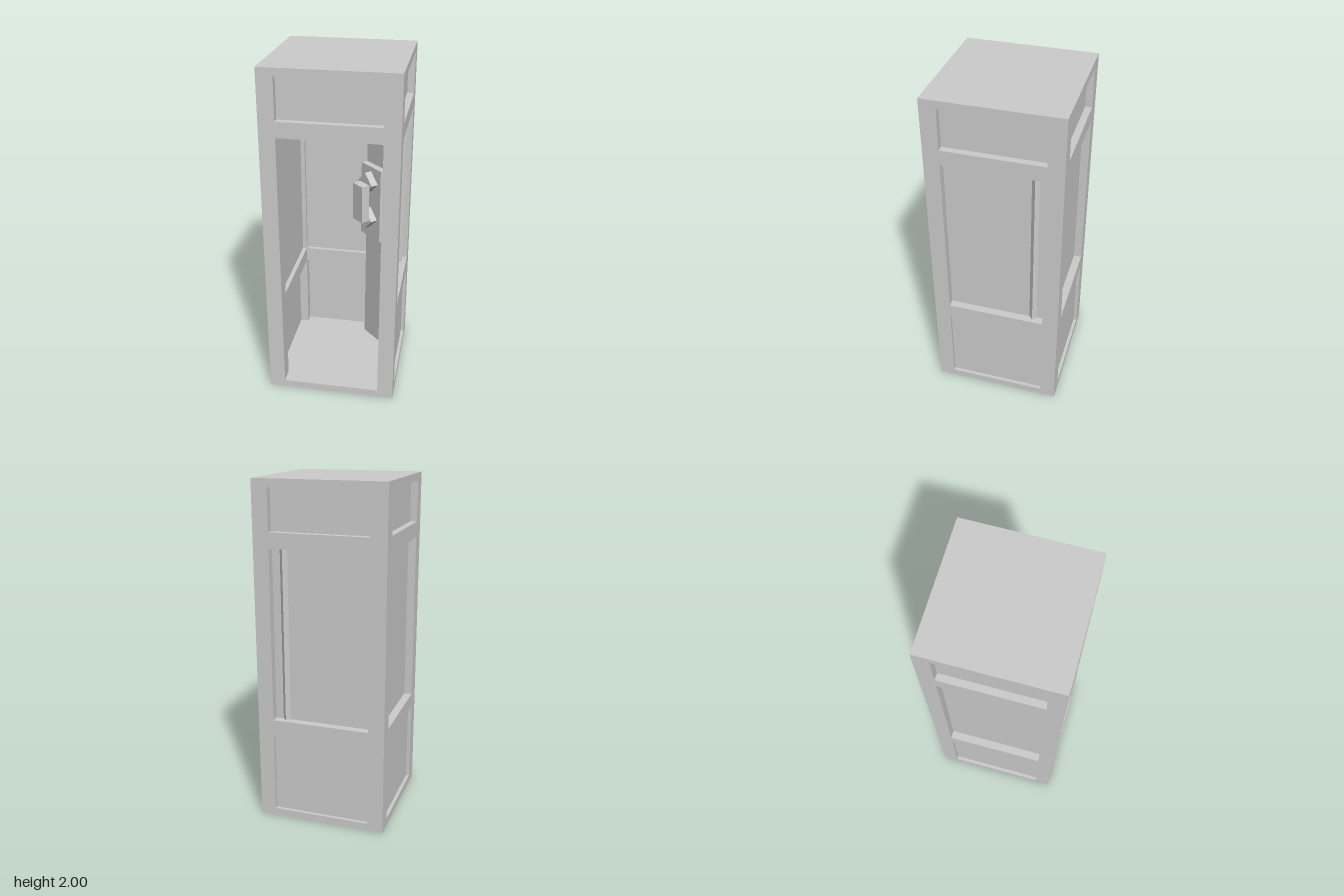
import * as THREE from 'three';

const material = new THREE.MeshStandardMaterial({ color: 0xcccccc, flatShading: true });

const HALF = 0.38;            // half of the booth's width
const POST = 0.0925;          // thickness of posts and rails
const OPEN = 2 * (HALF - POST); // clear width between posts

// Heights of the frame's horizontal members
const FLOOR = 0.045, RAIL_LOW = 0.53, RAIL_TOP = 0.62;
const HEAD_LOW = 1.625, HEAD_TOP = 1.715, ROOF = 1.955, TOP = 2;

// Box given by width, bottom, top and z range, centred on x
function slab(parent, name, width, y0, y1, z0, z1) {
  const mesh = new THREE.Mesh(new THREE.BoxGeometry(width, y1 - y0, z1 - z0), material);
  mesh.position.set(0, (y0 + y1) / 2, (z0 + z1) / 2);
  mesh.name = name;
  parent.add(mesh);
  return mesh;
}

// One side of the booth, built facing +z; the doorway side has no lower infill
function createSide(name, isDoorway) {
  const side = new THREE.Group();
  side.name = name;
  const panel = (label, y0, y1, front) => slab(side, label, OPEN, y0, y1, front - 0.02, front);

  slab(side, 'headRail', OPEN, HEAD_LOW, HEAD_TOP, HALF - POST, HALF);
  panel('signPanel', HEAD_TOP, ROOF, HALF - 0.04);
  if (!isDoorway) {
    slab(side, 'middleRail', OPEN, RAIL_LOW, RAIL_TOP, HALF - POST, HALF);
    panel('windowPane', RAIL_TOP, HEAD_LOW, HALF - 0.047);
    panel('lowerPanel', FLOOR, RAIL_LOW, HALF - 0.02);
  }
  return side;
}

// Telephone cabinet set diagonally in the back corner
function createTelephone() {
  const phone = new THREE.Group();
  phone.name = 'telephone';
  slab(phone, 'cabinet', 0.191, FLOOR, HEAD_LOW, -0.074, 0.074);
  slab(phone, 'phoneBody', 0.191, 0.815, 1.285, 0.074, 0.1165);
  slab(phone, 'handsetGrip', 0.092, 0.954, 1.19, 0.162, 0.2155);
  // Square ear and mouth pieces turned on their corners
  for (const [name, y] of [['earpiece', 1.19], ['mouthpiece', 0.954]]) {
    slab(phone, name, 0.096, y - 0.048, y + 0.048, 0.1165, 0.162).rotation.z = Math.PI / 4;
  }
  phone.position.set(0.235, 0, -0.235);
  phone.rotation.y = -Math.PI / 4;
  return phone;
}

export function createModel() {
  const booth = new THREE.Group();
  booth.name = 'phoneBooth';

  // Floor, ceiling and roof
  slab(booth, 'floor', 2 * HALF, 0, FLOOR, -HALF, HALF);
  slab(booth, 'ceiling', OPEN, HEAD_LOW, HEAD_TOP, -OPEN / 2, OPEN / 2);
  slab(booth, 'roof', 2 * HALF, ROOF, TOP, -HALF, HALF);

  // Corner posts
  const c = HALF - POST / 2;
  for (const x of [-c, c]) {
    for (const z of [-c, c]) {
      slab(booth, 'cornerPost', POST, FLOOR, ROOF, z - POST / 2, z + POST / 2).position.x = x;
    }
  }

  // Four sides, the front one being the doorway
  ['frontSide', 'leftSide', 'backSide', 'rightSide'].forEach((name, i) => {
    const side = createSide(name, i === 0);
    side.rotation.y = i * Math.PI / 2;
    booth.add(side);
  });

  booth.add(createTelephone());
  return booth;
}
